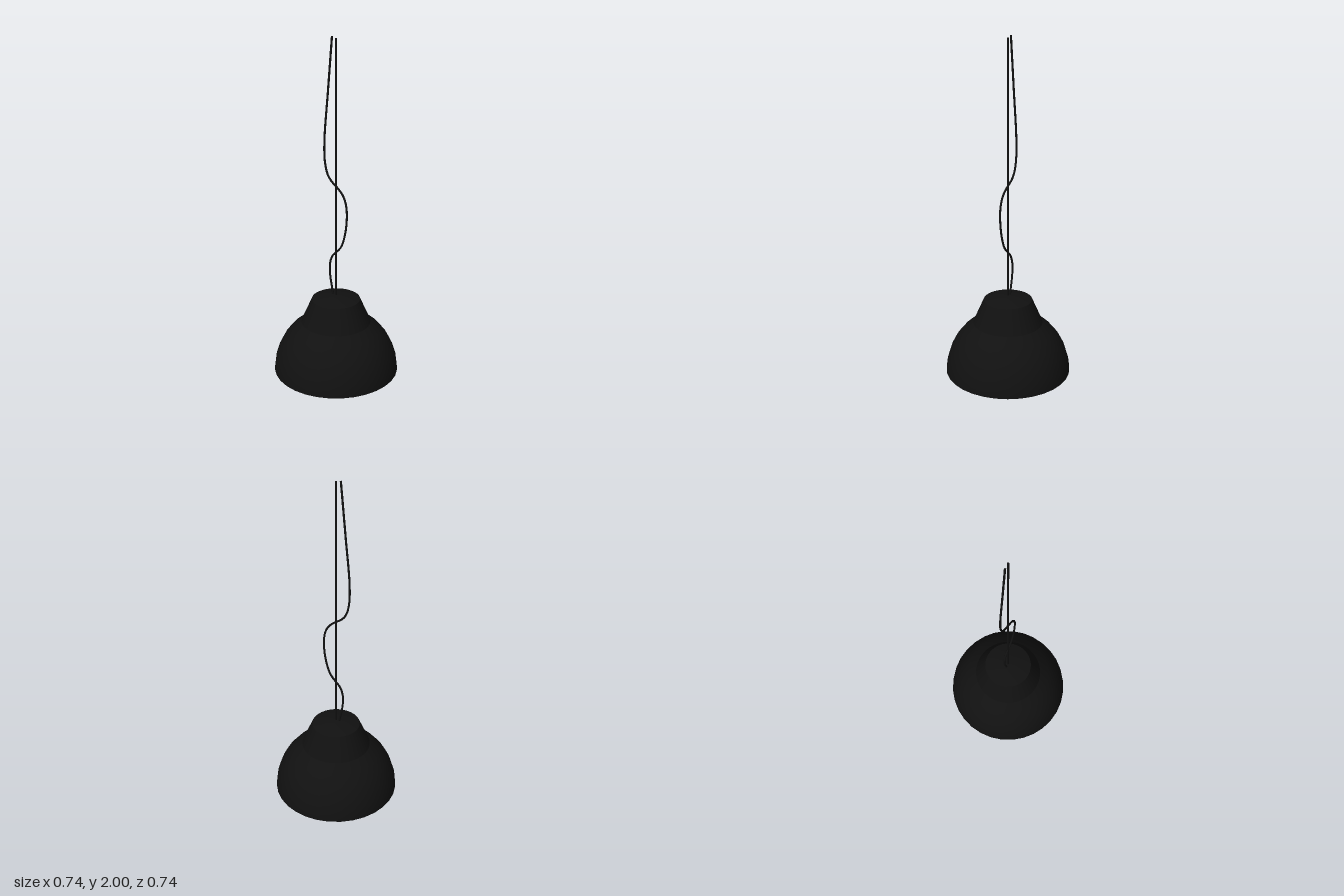
import * as THREE from 'three';

const SIDES = 32;
const v2 = ([x, y]) => new THREE.Vector2(x, y);

export function createModel() {
  const lamp = new THREE.Group();
  lamp.name = 'pendantLamp';

  const black = new THREE.MeshStandardMaterial({ color: 0x111111 });
  const yellow = new THREE.MeshStandardMaterial({ color: 0xd8cc78 });
  const grey = new THREE.MeshStandardMaterial({ color: 0x9aa0a6 });

  const add = (name, geometry, material) => {
    const mesh = new THREE.Mesh(geometry, material);
    mesh.name = name;
    lamp.add(mesh);
    return mesh;
  };
  // Profiles run upwards for outward faces and downwards for inward faces
  const lathe = (name, points, material) =>
    add(name, new THREE.LatheGeometry(points.map(v2), SIDES), material);

  // Shade: dome, tapered neck and shallow crown, split where the edges are sharp
  const dome = [[0.371, 0], [0.37, 0.02], [0.363, 0.073], [0.342, 0.142],
    [0.309, 0.206], [0.263, 0.262], [0.206, 0.31]];
  const neck = [[0.206, 0.31], [0.143, 0.455]];
  const crown = [[0.143, 0.455], [0.072, 0.475], [0, 0.481]];
  const inset = ([x, y]) => [Math.max(0, x - 0.006), y > 0.02 ? y - 0.004 : y];
  for (const [name, profile] of Object.entries({ dome, neck, crown })) {
    lathe(name, profile, black);
    lathe(name + 'Lining', profile.map(inset).reverse(), yellow);
  }
  lathe('rim', [[0.365, 0], [0.371, 0]], black);

  // Lamp holder and bulb hanging inside the shade
  const socket = add('socket', new THREE.CylinderGeometry(0.035, 0.035, 0.13, 20), black);
  socket.position.y = 0.41;
  lathe('bulb', [[0, 0.185], [0.023, 0.19], [0.042, 0.203], [0.055, 0.222], [0.06, 0.245],
    [0.056, 0.27], [0.044, 0.297], [0.031, 0.325], [0.028, 0.355]], grey);

  // Straight suspension wire
  const wire = add('suspensionWire', new THREE.CylinderGeometry(0.006, 0.006, 1.52, 8), black);
  wire.position.y = 1.23;

  // Loose power cord winding around the wire
  const path = [[-0.02, 0.47], [-0.045, 0.6], [-0.045, 0.67], [-0.028, 0.72], [0, 0.75],
    [0.036, 0.79], [0.06, 0.85], [0.078, 0.95], [0.075, 1.05], [0.05, 1.11], [0, 1.155],
    [-0.03, 1.175], [-0.06, 1.21], [-0.081, 1.28], [-0.085, 1.4], [-0.057, 1.7], [-0.028, 2]];
  const curve = new THREE.CatmullRomCurve3(path.map(([x, y]) => new THREE.Vector3(x, y, 0)));
  add('powerCord', new THREE.TubeGeometry(curve, 80, 0.006, 8), black);

  return lamp;
}
